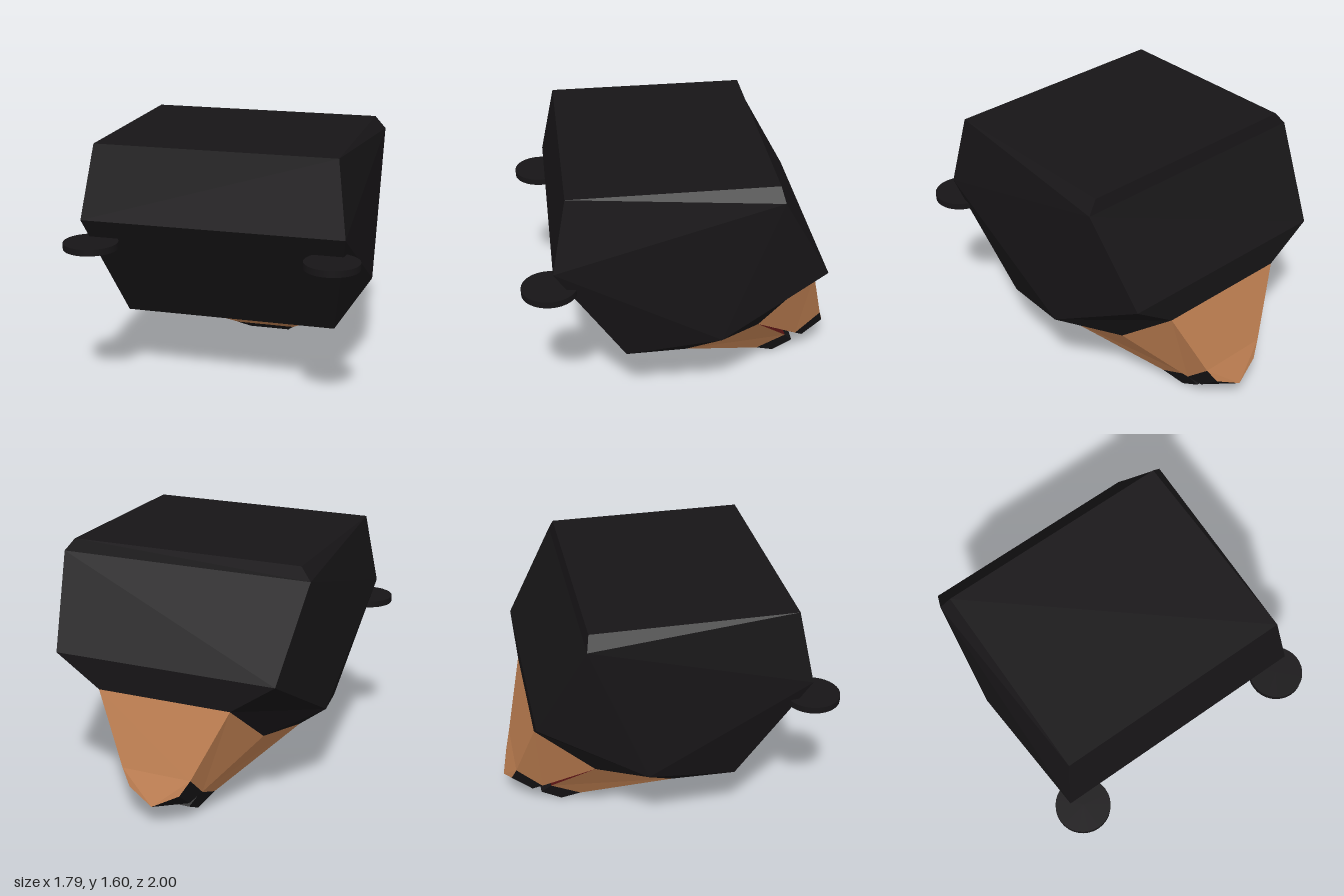
import * as THREE from 'three';

// Left-side corner points; a lower-case letter means the mirrored point.
const P = {
  A: [0.735, 1.6, 0.72], B: [0.8, 1.15, 0.81], C: [0.665, 0.45, 0.39],
  D: [0.8, 0.6, -0.18], E: [0.71, 0.97, -0.83], F: [0.8, 1.52, -0.53], G: [0.735, 1.6, -0.51],
  H: [0.565, 0.38, 0.01], I: [0.5, 0.48, -0.46], J: [0.43, 0.77, -0.82],
  // upper snout
  N: [0.225, 0.335, -0.93], O: [0.165, 0.235, -0.96], T: [0, 0.15, -1],
  Q: [0.23, 0.19, -0.77], R: [0.17, 0.13, -0.83], M: [0.34, 0.33, -0.58],
  // lower jaw
  K: [0.2, 0.07, -0.52], L: [0.19, 0.15, -0.71], U: [0.14, 0, -0.64], V: [0.14, 0.07, -0.77],
};

function point(ch) {
  const p = new THREE.Vector3(...P[ch.toUpperCase()]);
  if (ch !== ch.toUpperCase()) p.x *= -1;
  return p;
}

const swapCase = (s) => [...s].map((c) => (c === c.toUpperCase() ? c.toLowerCase() : c.toUpperCase())).join('');

const material = (color) =>
  new THREE.MeshStandardMaterial({ color, flatShading: true, side: THREE.DoubleSide });
const black = material(0x171517);
const brown = material(0xc08052);
const red = material(0x5a1414);

// Faceted shell: "middle" faces span both sides, "side" faces are mirrored.
// Every triangle is turned away from the given centre.
function shell(name, mat, centre, middle, side = []) {
  const c = new THREE.Vector3(...centre);
  const pos = [];
  for (const face of [...middle, ...side, ...side.map(swapCase)]) {
    const v = [...face].map(point);
    for (let i = 1; i < v.length - 1; i++) {
      const tri = [v[0], v[i], v[i + 1]];
      const n = tri[1].clone().sub(tri[0]).cross(tri[2].clone().sub(tri[0]));
      const mid = tri[0].clone().add(tri[1]).add(tri[2]).divideScalar(3);
      if (n.dot(mid.sub(c)) < 0) tri.reverse();
      tri.forEach((p) => pos.push(p.x, p.y, p.z));
    }
  }
  const g = new THREE.BufferGeometry();
  g.setAttribute('position', new THREE.Float32BufferAttribute(pos, 3));
  g.computeVertexNormals();
  const mesh = new THREE.Mesh(g, mat);
  mesh.name = name;
  return mesh;
}

export function createModel() {
  const model = new THREE.Group();
  model.name = 'animalHead';

  // Head block: top, front, underside strip, back; cheeks mirrored
  model.add(shell('head', black, [0, 1, 0],
    ['AagG', 'ABba', 'BCcb', 'CHhc', 'GFfg', 'FEef', 'EJje'],
    ['AGF', 'AFB', 'BFD', 'BDC', 'DFE', 'DEJ', 'DJI', 'DIH', 'DHC']));

  // Upper snout with dark nose
  const snout = new THREE.Group();
  snout.name = 'upperSnout';
  const sc = [0, 0.35, -0.8];
  snout.add(
    shell('snoutBridge', brown, sc, ['JjnN', 'TONno'], ['JIQN']),
    shell('nose', black, sc, ['TORro', 'RrqQ'], ['NQRO']),
    shell('mouthRoof', red, [0, 0.6, -0.7], ['IimM', 'MmqQ'], ['IMQ']),
  );
  model.add(snout);

  // Lower jaw with dark tip
  const jaw = new THREE.Group();
  jaw.name = 'lowerJaw';
  const jc = [0, 0.2, -0.45];
  const tc = [0, 0.07, -0.66];
  jaw.add(
    shell('jaw', brown, jc, ['HhkK'], ['HILK']),
    shell('mouthFloor', red, jc, ['IilL']),
    shell('jawTip', black, tc, ['KkuU', 'UuvV', 'LlvV'], ['KLVU']),
  );
  model.add(jaw);

  // Thin outlines on the underside strip
  const outline = new THREE.Shape(
    [[-0.08, -0.045], [0.08, -0.045], [0.06, 0.045], [-0.06, 0.045]].map((p) => new THREE.Vector2(...p)));
  outline.holes.push(new THREE.Path(
    [[-0.071, -0.038], [-0.054, 0.038], [0.054, 0.038], [0.071, -0.038]].map((p) => new THREE.Vector2(...p))));
  const slope = Math.atan2(0.07, 0.38);

  for (const s of [1, -1]) {
    const mark = new THREE.Mesh(new THREE.ShapeGeometry(outline), brown);
    mark.name = s > 0 ? 'leftUndersideMark' : 'rightUndersideMark';
    mark.position.set(s * 0.31, 0.411, 0.19);
    mark.rotation.x = -Math.PI / 2 - slope;
    model.add(mark);

    // Flat round ears
    const ear = new THREE.Mesh(
      new THREE.CylinderGeometry(0.165, 0.165, 0.04, 32),
      new THREE.MeshStandardMaterial({ color: 0x171517 }));
    ear.name = s > 0 ? 'leftEar' : 'rightEar';
    ear.position.set(s * 0.73, 1.01, 0.835);
    model.add(ear);
  }
  return model;
}
